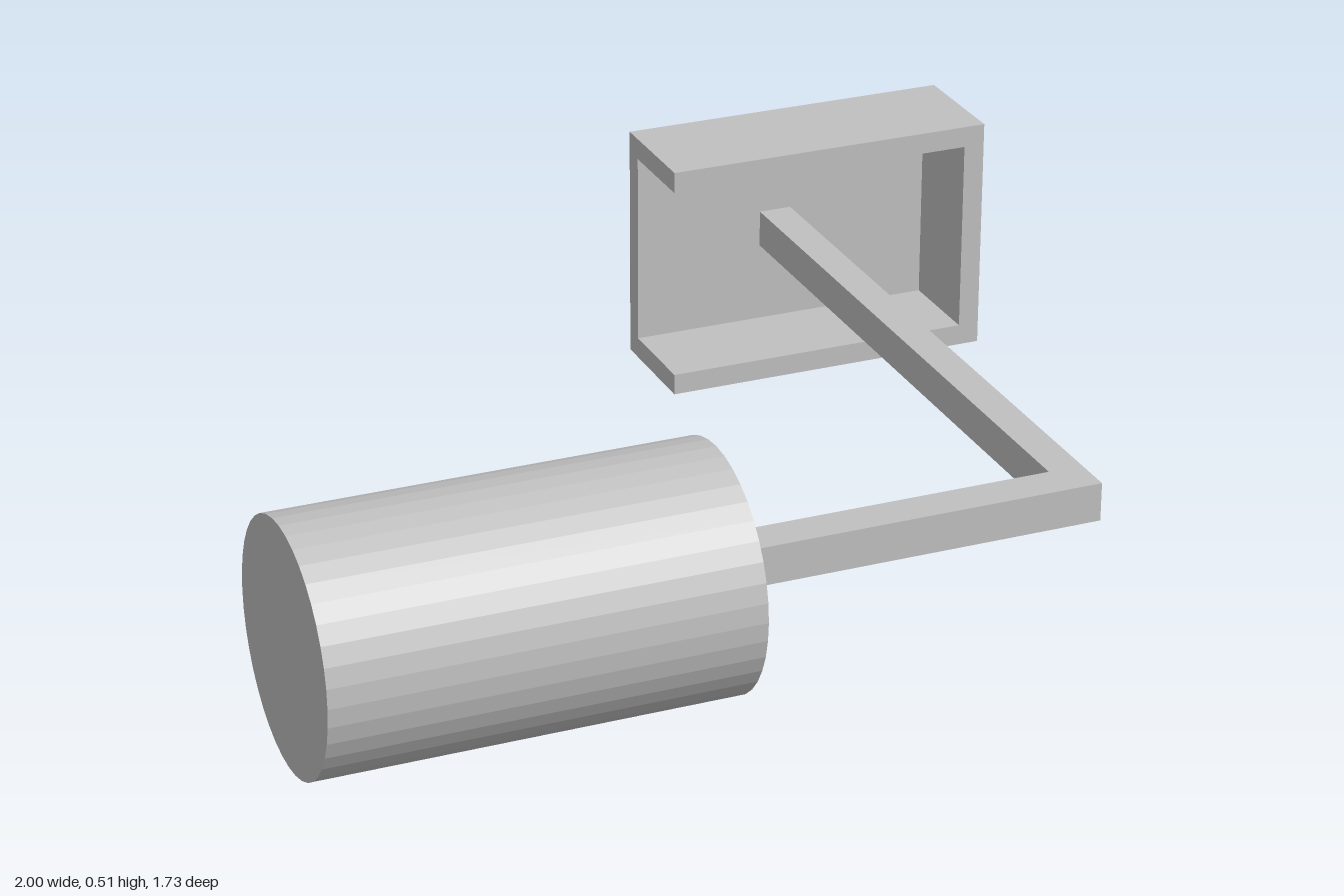
import * as THREE from 'three';

const grey = new THREE.MeshStandardMaterial({ color: 0xc0c0c0, flatShading: true });
grey.name = 'plain grey';

function part(name, geometry) {
  const mesh = new THREE.Mesh(geometry, grey);
  mesh.name = name;
  return mesh;
}

// Straight-edged outline pushed along z
function prism(points, depth) {
  const shape = new THREE.Shape(points.map(([x, y]) => new THREE.Vector2(x, y)));
  return new THREE.ExtrudeGeometry(shape, { depth, bevelEnabled: false });
}

export function createModel() {
  const group = new THREE.Group();
  group.name = 'rollerHolder';

  // Roller lying along x
  const roller = part('roller', new THREE.CylinderGeometry(0.247, 0.247, 0.845, 40).rotateZ(Math.PI / 2));
  roller.position.set(-0.5775, 0.26, 0.615);
  group.add(roller);

  // L-shaped square bar, outlined in x and z, from the roller to the back plate
  const arm = part('arm', prism([
    [-0.155, 0.572], [0.56, 0.572], [0.56, -0.82],
    [0.632, -0.82], [0.632, 0.655], [-0.155, 0.655],
  ], 0.08).rotateX(Math.PI / 2));
  arm.position.y = 0.3;
  group.add(arm);

  // Wall bracket: back plate with a rim on three sides, open towards -x
  const plate = part('backPlate', new THREE.BoxGeometry(0.725, 0.515, 0.046));
  plate.position.set(0.6345, 0.2575, -0.842);
  group.add(plate);

  const rim = part('bracketRim', prism([
    [0.272, 0], [0.997, 0], [0.997, 0.515], [0.272, 0.515],
    [0.272, 0.469], [0.951, 0.469], [0.951, 0.046], [0.272, 0.046],
  ], 0.206));
  rim.position.z = -0.819;
  group.add(rim);

  return group;
}
